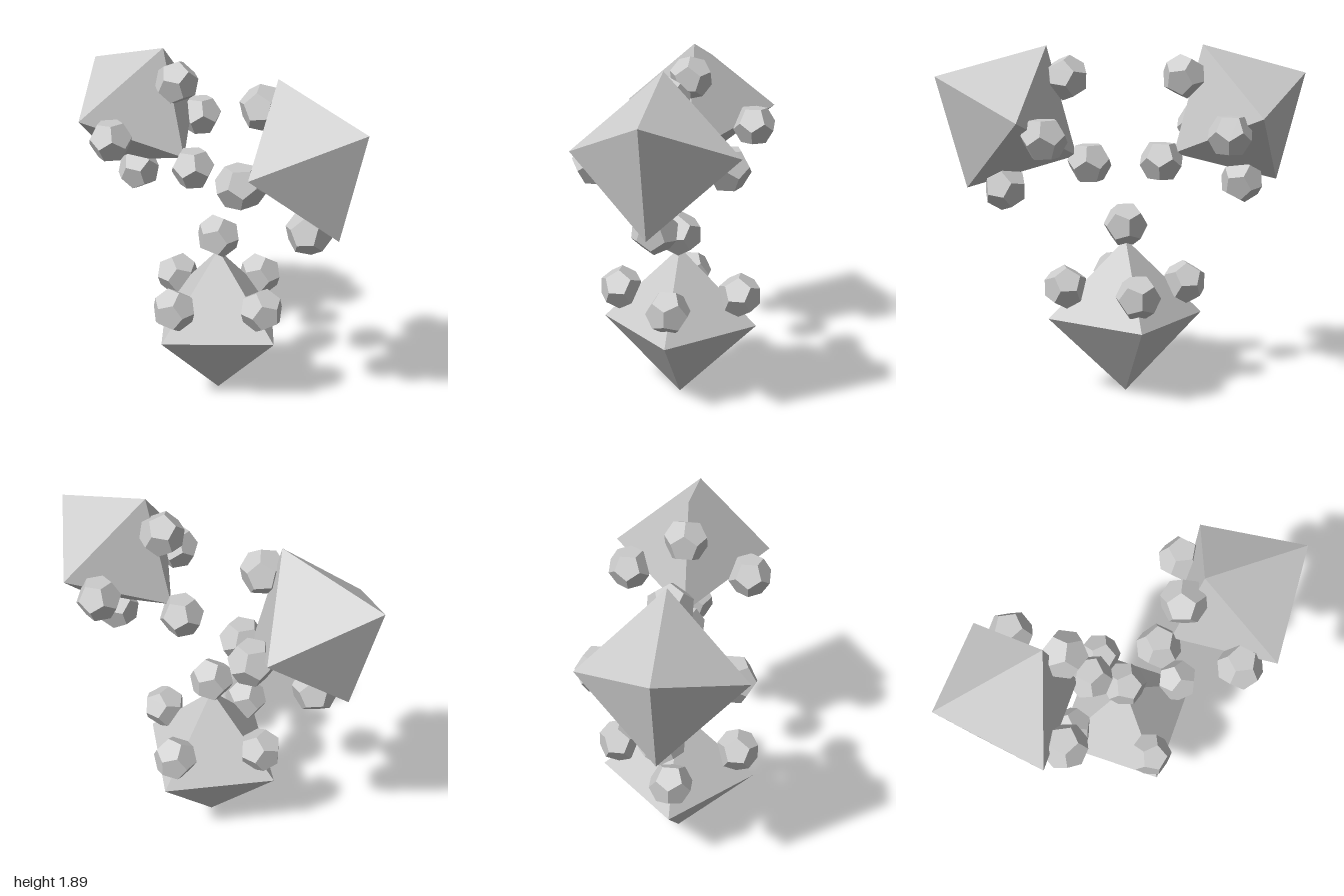
import * as THREE from 'three';

const material = new THREE.MeshStandardMaterial({ color: 0xcccccc, flatShading: true });
const CORE_RADIUS = 0.4235;
const BEAD_RADIUS = 0.12;
const RING = 0.73;       // distance of each cluster from the common centre
const BEAD_HUB = 0.174;  // height of the bead ring above the core centre
const BEAD_REACH = 0.33; // distance of the beads from that hub

function addMesh(parent, name, geometry, x = 0, y = 0, z = 0) {
  const mesh = new THREE.Mesh(geometry, material);
  mesh.name = name;
  mesh.position.set(x, y, z);
  parent.add(mesh);
  return mesh;
}

// One octahedral core with a bead over its tip and four beads around it
function createCluster() {
  const cluster = new THREE.Group();
  cluster.name = 'cluster';
  addMesh(cluster, 'core', new THREE.OctahedronGeometry(CORE_RADIUS));

  const bead = new THREE.DodecahedronGeometry(BEAD_RADIUS);
  addMesh(cluster, 'tipBead', bead, 0, BEAD_HUB + BEAD_REACH, 0);
  for (let i = 0; i < 4; i++) {
    const a = (i * Math.PI) / 2;
    const side = addMesh(cluster, 'sideBead', bead,
      BEAD_REACH * Math.sin(a), BEAD_HUB, BEAD_REACH * Math.cos(a));
    side.rotation.y = a;
  }
  return cluster;
}

export function createModel() {
  const model = new THREE.Group();
  model.name = 'polyhedronTrio';

  // Three clusters around a common centre, tips pointing inward
  const centreY = RING + CORE_RADIUS;
  for (let i = 0; i < 3; i++) {
    const a = (i * 2 * Math.PI) / 3;
    const cluster = createCluster();
    cluster.rotation.z = a;
    cluster.position.set(RING * Math.sin(a), centreY - RING * Math.cos(a), 0);
    model.add(cluster);
  }
  return model;
}
